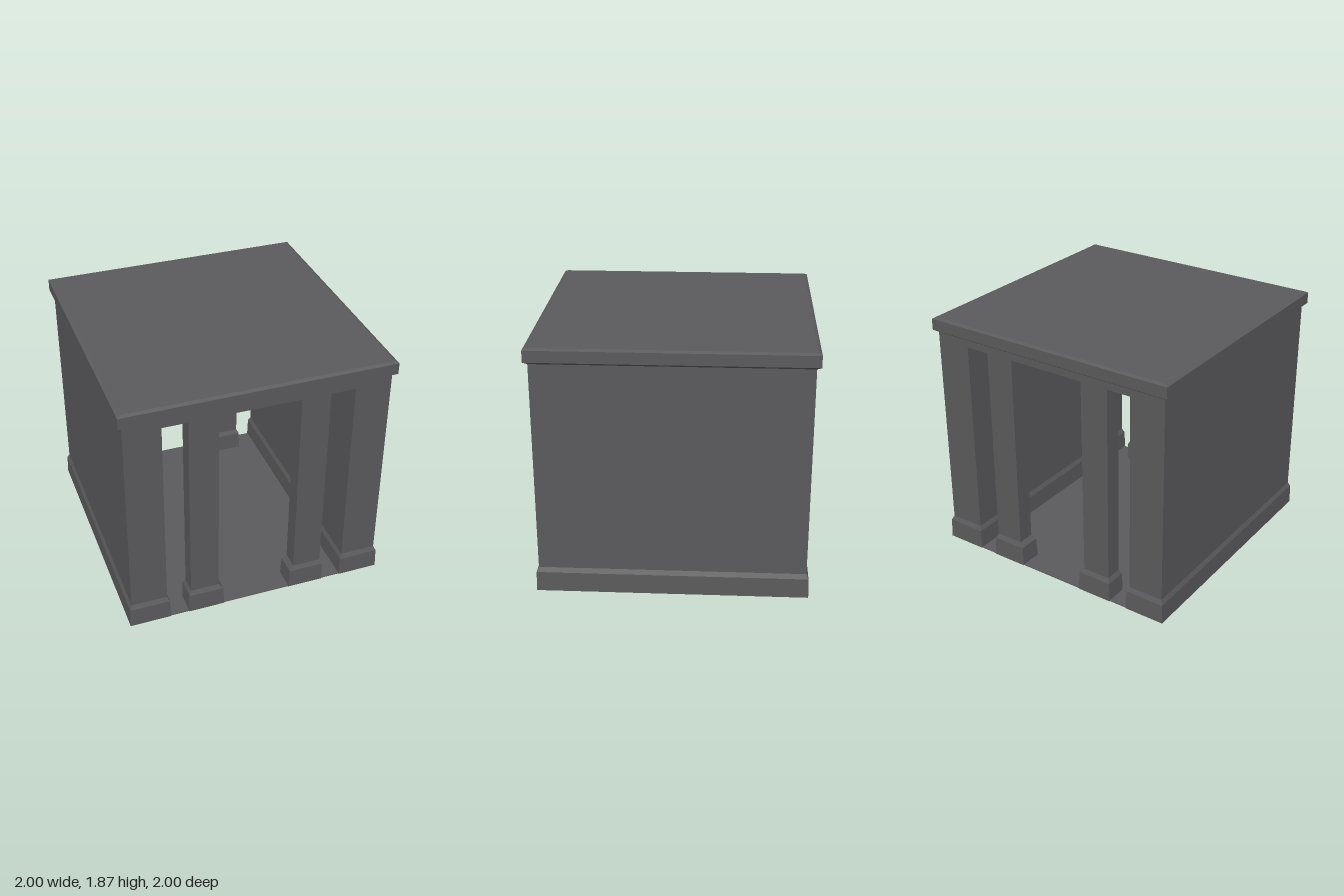
import * as THREE from 'three';

// Stacked rectangular sections [y, x0, x1, z0, z1] joined into a closed, flat-faced solid.
function sectionSolid(sections) {
  const pos = [];
  const rings = sections.map(([y, x0, x1, z0, z1]) =>
    [[x0, y, z1], [x1, y, z1], [x1, y, z0], [x0, y, z0]]);
  const quad = (a, b, c, d) => pos.push(...a, ...b, ...c, ...a, ...c, ...d);
  for (let i = 0; i < rings.length - 1; i++) {
    const lo = rings[i], hi = rings[i + 1];
    for (let k = 0; k < 4; k++) {
      const n = (k + 1) % 4;
      quad(lo[k], lo[n], hi[n], hi[k]);
    }
  }
  const [a, b, c, d] = rings[0];
  quad(d, c, b, a);
  quad(...rings[rings.length - 1]);
  const geo = new THREE.BufferGeometry();
  geo.setAttribute('position', new THREE.Float32BufferAttribute(pos, 3));
  geo.computeVertexNormals();
  return geo;
}

export function createModel() {
  const group = new THREE.Group();
  const stone = new THREE.MeshStandardMaterial({ color: 0x5a5a5c });
  stone.name = 'dark grey stone';

  const add = (name, sections) => {
    const mesh = new THREE.Mesh(sectionSolid(sections), stone);
    mesh.name = name;
    group.add(mesh);
  };
  const TOP = 1.7, OUT = 0.97;

  // Upright with a flared, bevelled skirting; inner is the flare towards the central opening
  const upright = (name, x0, x1, z0, z1, flare0, flare1) => {
    const ring = (y, f) => [y, x0 - flare0 * f, x1 + flare1 * f, z0 - 0.02 * f, z1 + 0.02 * f];
    add(name, [ring(0, 1), ring(0.15, 0.8), ring(0.185, 0), ring(TOP, 0)]);
  };

  // Thick side walls, whose ends form the outer piers
  upright('leftWall', 0.7, OUT, -OUT, OUT, 0.02, 0.02);
  upright('rightWall', -OUT, -0.7, -OUT, OUT, 0.02, 0.02);

  // Two free-standing pillars at the front and the back
  for (const [end, z0, z1] of [['front', 0.84, OUT], ['back', -OUT, -0.84]]) {
    upright(end + 'LeftPillar', 0.3, 0.515, z0, z1, 0.04, 0.022);
    upright(end + 'RightPillar', -0.515, -0.3, z0, z1, 0.022, 0.04);
  }

  // Floor plate and ceiling with lintels
  add('floor', [[0, -0.985, 0.985, -0.985, 0.985], [0.006, -0.985, 0.985, -0.985, 0.985]]);
  add('ceiling', [[TOP, -OUT, OUT, -OUT, OUT], [1.76, -OUT, OUT, -OUT, OUT]]);

  // Overhanging roof slab with bevelled edges
  add('roof', [[1.755, 0.97], [1.775, 1], [1.86, 1], [1.872, 0.976]]
    .map(([y, r]) => [y, -r, r, -r, r]));

  return group;
}
